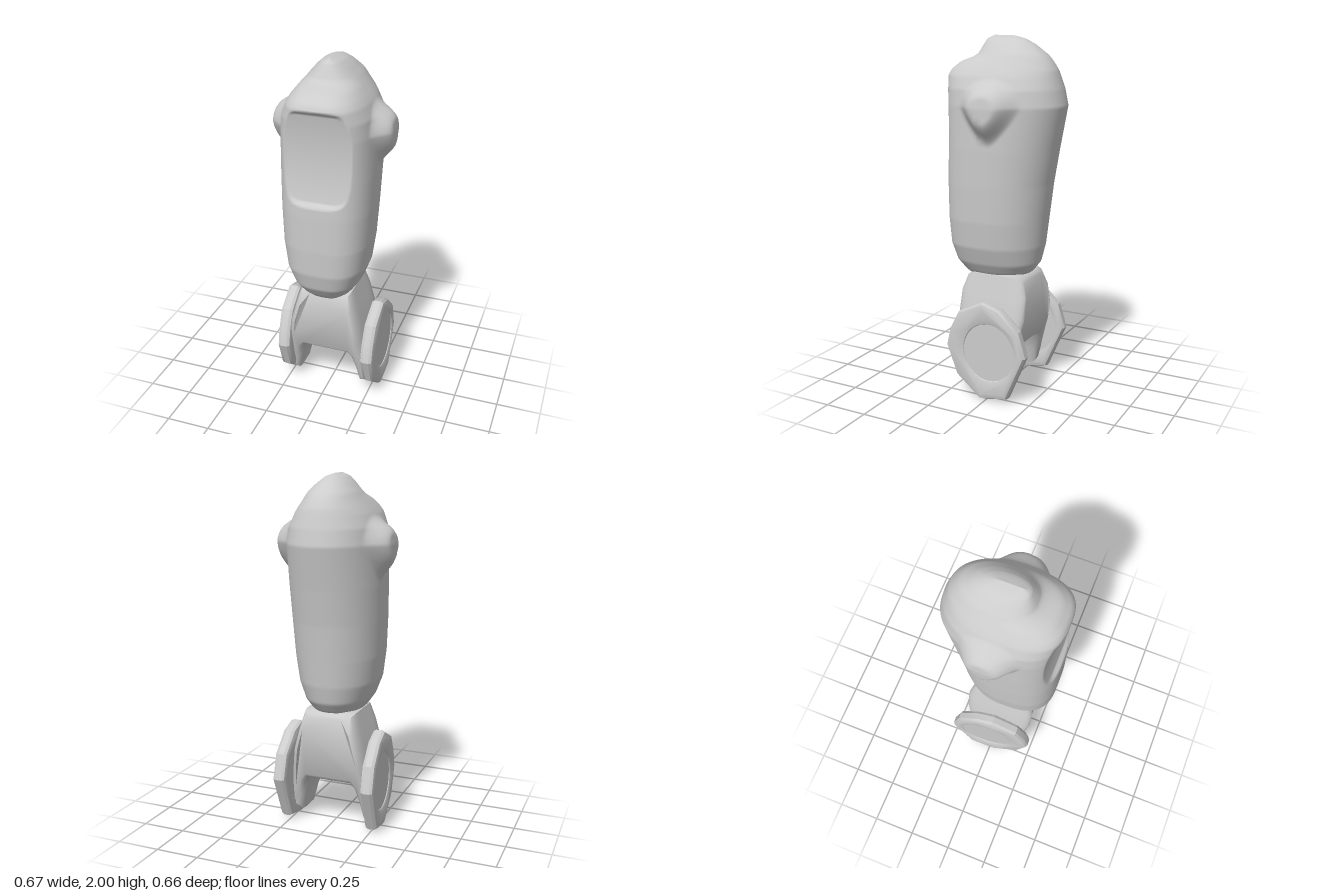
import * as THREE from 'three';
import { toCreasedNormals } from 'three/addons/utils/BufferGeometryUtils.js';

const { lerp, smoothstep } = THREE.MathUtils;
const material = new THREE.MeshStandardMaterial({ color: 0xcccccc });

function add(parent, name, geometry) {
  const mesh = new THREE.Mesh(geometry, material);
  mesh.name = name;
  parent.add(mesh);
}

// Body sections: height, half width, front z, back z (the crown steps back above the window)
const sections = [
  [0.64, 0, 0.18, 0.14], [0.66, 0.1, 0.22, -0.02], [0.69, 0.145, 0.25, -0.14],
  [0.75, 0.185, 0.295, -0.185], [0.85, 0.222, 0.322, -0.208], [1.0, 0.242, 0.33, -0.225],
  [1.2, 0.252, 0.33, -0.25], [1.4, 0.257, 0.325, -0.285], [1.63, 0.257, 0.328, -0.33],
  [1.72, 0.245, 0.33, -0.312], [1.79, 0.215, 0.333, -0.29], [1.82, 0.195, 0.318, -0.28],
  [1.86, 0.165, 0.27, -0.255], [1.885, 0.145, 0.2, -0.235], [1.9, 0.135, 0.172, -0.22],
  [1.95, 0.09, 0.145, -0.155], [1.985, 0.05, 0.125, -0.09], [2.0, 0, 0.09, -0.02],
];

function sectionAt(y) {
  let i = 0;
  while (i < sections.length - 2 && sections[i + 1][0] < y) i++;
  const a = sections[i], b = sections[i + 1];
  const t = (y - a[0]) / (b[0] - a[0]);
  return a.map((v, k) => lerp(v, b[k], t));
}

// Rounded-rectangle distance: 1 on the border
const roundDistance = (u, v, n) => (Math.abs(u) ** n + Math.abs(v) ** n) ** (1 / n);

function bodyGeometry() {
  const rows = 140, cols = 144, position = [], index = [];
  for (let r = 0; r <= rows; r++) {
    const y = lerp(0.64, 2, r / rows);
    const [, half, front, back] = sectionAt(y);
    for (let c = 0; c < cols; c++) {
      const a = (c / cols) * Math.PI * 2;
      const ca = Math.cos(a), sa = Math.sin(a);
      // boxier front, rounder back
      const n = sa > 0 ? lerp(2.9, 2.4, smoothstep(y, 1.78, 1.95)) : 2.1;
      let x = Math.sign(ca) * Math.abs(ca) ** (2 / n) * half;
      let z = (front + back) / 2 + Math.sign(sa) * Math.abs(sa) ** (2 / n) * (front - back) / 2;
      if (z > 0.08) {
        // shallow window recess, concave from top to bottom
        const v = (y - 1.525) / 0.26;
        const inWindow = 1 - smoothstep(roundDistance(x / 0.186, v, 5), 0.94, 1);
        z = lerp(z, Math.min(z, 0.275 + 0.03 * v * v), inWindow);
      }
      // shoulder bosses, tapering toward the bottom
      const up = y - 1.63;
      const reach = up < 0 ? lerp(0.18, 0.08, Math.min(1, -up / 0.2)) : 0.18;
      const d = Math.hypot(z / reach, up / (up < 0 ? 0.21 : 0.155));
      x += Math.sign(ca) * 0.077 * (1 - smoothstep(d, 0.35, 1)) * smoothstep(Math.abs(x), 0.1, 0.2);
      position.push(x, y, z);
      if (r < rows) {
        const p = r * cols + c, q = r * cols + (c + 1) % cols;
        index.push(p, p + cols, q, q, p + cols, q + cols);
      }
    }
  }
  const geometry = new THREE.BufferGeometry();
  geometry.setAttribute('position', new THREE.Float32BufferAttribute(position, 3));
  geometry.setIndex(index);
  geometry.computeVertexNormals();
  return geometry;
}

// Pelvis and both legs as one rounded arch, deepest at the hips
function legsGeometry() {
  const half = [[0.085, 0.66], [0.12, 0.655], [0.14, 0.58], [0.172, 0.46], [0.188, 0.36],
    [0.215, 0.2], [0.235, 0.1], [0.215, 0.095], [0.2, 0.16], [0.175, 0.26], [0.14, 0.305]];
  const points = [...half, ...half.map(([x, y]) => [-x, y]).reverse()]
    .map(([x, y]) => new THREE.Vector2(x, y));
  const geometry = new THREE.ExtrudeGeometry(new THREE.Shape(points), {
    depth: 0.2, steps: 6, bevelThickness: 0.08, bevelSize: 0.037, bevelSegments: 5,
  });
  geometry.translate(0, 0, -0.1);
  const p = geometry.attributes.position;
  for (let i = 0; i < p.count; i++) {
    const y = p.getY(i);
    const scale = y < 0.5 ? lerp(0.6, 1.15, smoothstep(y, 0.05, 0.5))
      : lerp(1.15, 0.95, smoothstep(y, 0.55, 0.7));
    p.setZ(i, p.getZ(i) * scale + 0.025);
  }
  return toCreasedNormals(geometry, 0.8);
}

// Foot pad outline as z, y
const padOutline = [[0.02, 0.555], [0.16, 0.485], [0.215, 0.38], [0.235, 0.29], [0.175, 0.13],
  [0.035, 0.015], [0, 0.015], [-0.12, 0.04], [-0.225, 0.285], [-0.185, 0.42], [-0.075, 0.525]];

function footPad(side) {
  const pad = new THREE.Group();
  pad.name = side > 0 ? 'leftFootPad' : 'rightFootPad';
  const shape = new THREE.Shape(padOutline.map(([z, y]) => new THREE.Vector2(-side * z, y)));
  const hole = new THREE.Path();
  hole.absellipse(side * 0.02, 0.285, 0.165, 0.175, 0, Math.PI * 2);
  shape.holes.push(hole);
  const rim = new THREE.ExtrudeGeometry(shape, {
    depth: 0.035, curveSegments: 20,
    bevelThickness: 0.022, bevelSize: 0.03, bevelOffset: -0.015, bevelSegments: 2,
  });
  rim.translate(0, 0, 0.248).rotateY(side * Math.PI / 2);
  add(pad, 'padRim', toCreasedNormals(rim, 0.5));
  // recessed disc filling the rim
  const disc = new THREE.CylinderGeometry(1, 1, 0.064, 40);
  disc.rotateZ(Math.PI / 2).scale(1, 0.192, 0.182).translate(side * 0.262, 0.285, -0.02);
  add(pad, 'padDisc', disc);
  return pad;
}

export function createModel() {
  const model = new THREE.Group();
  model.name = 'model';
  add(model, 'body', bodyGeometry());
  add(model, 'pelvisAndLegs', legsGeometry());
  const leftPad = footPad(1), rightPad = footPad(-1);
  // the right pad toes in slightly
  rightPad.rotation.y = 0.06;
  rightPad.position.set(0.012, 0, -0.016);
  model.add(leftPad, rightPad);
  return model;
}
